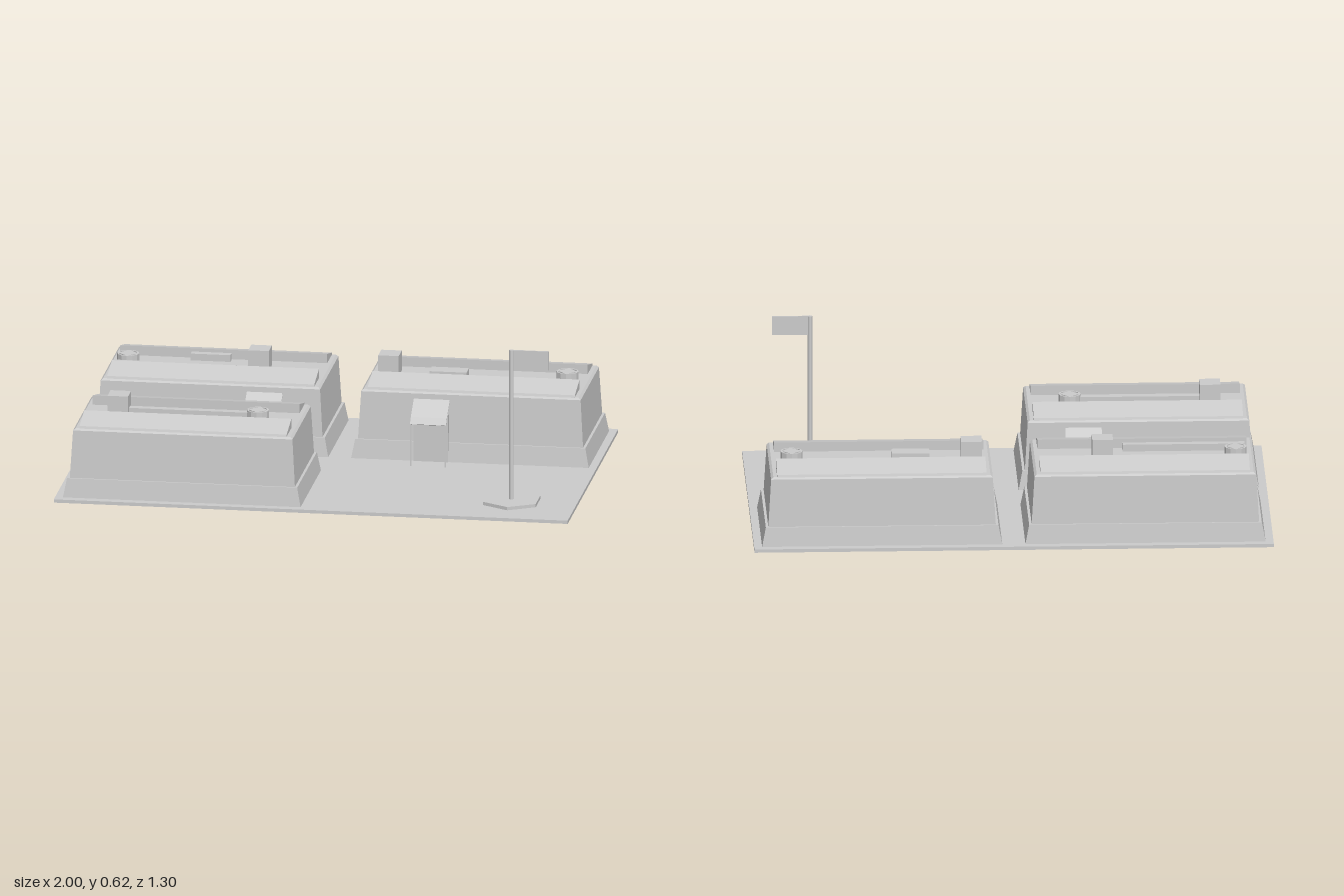
import * as THREE from 'three';

const mat = new THREE.MeshStandardMaterial({ color: 0xcccccc, flatShading: true });

export function createModel() {
  const model = new THREE.Group();
  model.name = 'compound';

  const add = (parent, name, geo, x = 0, y = 0, z = 0) => {
    const m = new THREE.Mesh(geo, mat);
    m.name = name;
    m.position.set(x, y, z);
    parent.add(m);
    return m;
  };
  // Box standing on y0
  const box = (parent, name, x, z, w, d, y0, y1) =>
    add(parent, name, new THREE.BoxGeometry(w, y1 - y0, d), x, (y0 + y1) / 2, z);

  // Box whose top is narrower than its bottom (half sizes)
  const taper = (parent, name, bx, bz, tx, tz, y0, y1) => {
    const g = new THREE.BoxGeometry(2 * bx, y1 - y0, 2 * bz);
    const p = g.attributes.position;
    for (let i = 0; i < p.count; i++) {
      if (p.getY(i) > 0) p.setXYZ(i, Math.sign(p.getX(i)) * tx, p.getY(i), Math.sign(p.getZ(i)) * tz);
    }
    g.computeVertexNormals();
    return add(parent, name, g, 0, (y0 + y1) / 2, 0);
  };

  // Profile of [z, y] points extruded along x, centred
  const profile = (points, width) => {
    const shape = new THREE.Shape(points.map(([z, y]) => new THREE.Vector2(-z, y)));
    const g = new THREE.ExtrudeGeometry(shape, { depth: width, bevelEnabled: false });
    return g.translate(0, 0, -width / 2).rotateY(Math.PI / 2);
  };

  // Round vent with four open quarters
  const ventShape = new THREE.Shape().absarc(0, 0, 0.043, 0, Math.PI * 2);
  for (let i = 0; i < 4; i++) {
    const a = i * Math.PI / 2, mid = a + Math.PI / 4;
    const hole = new THREE.Path();
    const cx = Math.cos(mid) * 0.007, cy = Math.sin(mid) * 0.007;
    hole.moveTo(cx, cy);
    hole.absarc(cx, cy, 0.029, a, a + Math.PI / 2);
    hole.closePath();
    ventShape.holes.push(hole);
  }
  const ventGeo = new THREE.ExtrudeGeometry(ventShape, { depth: 0.037, bevelEnabled: false, curveSegments: 6 });
  ventGeo.rotateX(-Math.PI / 2);

  const vent = (x, z) => {
    add(model, 'roofVent', ventGeo, x, 0.283, z);
    add(model, 'roofVentFloor', new THREE.CylinderGeometry(0.04, 0.04, 0.015, 16), x, 0.29, z);
  };

  // Ground slab
  box(model, 'ground', 0, 0, 2, 1.3, 0, 0.013);

  // Three matching buildings
  const roofPoints = [[0.231, 0.277], [0.226, 0.291], [0.105, 0.32], [0.105, 0.277]];
  const building = (name, x, z) => {
    const g = new THREE.Group();
    g.name = name;
    g.position.set(x, 0, z);
    model.add(g);
    taper(g, 'skirt', 0.4625, 0.262, 0.448, 0.253, 0.013, 0.088);
    taper(g, 'walls', 0.438, 0.246, 0.427, 0.236, 0.088, 0.275);
    taper(g, 'roofDeck', 0.427, 0.236, 0.418, 0.228, 0.275, 0.283);
    for (const s of [1, -1]) {
      const slope = add(g, s > 0 ? 'frontRoofSlope' : 'backRoofSlope', profile(roofPoints, 0.806));
      if (s < 0) slope.rotation.y = Math.PI;
    }
  };
  building('backRightHall', -0.507, -0.355);
  building('backLeftHall', 0.507, -0.355);
  building('frontRightHall', -0.507, 0.355);

  // Doorway with a bent thin canopy on two posts; side is the sign of z
  const canopyPoints = [
    [0.12, 0.256], [0.04, 0.203], [0.019, 0.18], [0.022, 0.178], [0.042, 0.199], [0.12, 0.251],
  ];
  const doorFrame = (x, side) => box(model, 'doorFrame', x, side * 0.108, 0.134, 0.036, 0.013, 0.2);
  const porch = (x, side) => {
    doorFrame(x, side);
    const c = add(model, 'porchCanopy', profile(canopyPoints, 0.14), x);
    if (side < 0) c.rotation.y = Math.PI;
    for (const s of [-1, 1]) box(model, 'porchPost', x + s * 0.067, side * 0.022, 0.005, 0.005, 0.013, 0.18);
  };
  porch(-0.295, -1);
  porch(-0.295, 1);
  porch(0.355, -1);

  // Covered walkway between the two right halls
  box(model, 'walkwayRoof', -0.75, 0, 0.142, 0.24, 0.198, 0.203);
  for (const side of [-1, 1]) {
    doorFrame(-0.75, side);
    for (const s of [-1, 1]) box(model, 'walkwayPost', -0.75 + s * 0.067, side * 0.039, 0.005, 0.005, 0.013, 0.199);
  }

  // Rooftop equipment
  vent(-0.863, -0.36);
  vent(0.847, -0.36);
  vent(-0.25, 0.352);
  for (const [x, z] of [[-0.35, -0.36], [0.155, -0.365], [-0.79, 0.352]]) {
    box(model, 'roofUnit', x, z, 0.08, 0.08, 0.28, 0.362);
  }
  box(model, 'roofBox', -0.552, -0.436, 0.155, 0.03, 0.28, 0.31);
  box(model, 'roofDuct', -0.665, -0.28, 0.47, 0.03, 0.28, 0.31);
  box(model, 'roofBox', 0.388, -0.347, 0.145, 0.065, 0.28, 0.31);
  box(model, 'roofDuct', -0.52, 0.352, 0.46, 0.03, 0.28, 0.31);

  // Flagpole on a hexagonal plinth
  add(model, 'flagPlinth', new THREE.CylinderGeometry(0.118, 0.118, 0.014, 6), 0.748, 0.019, 0.423);
  add(model, 'flagPole', new THREE.CylinderGeometry(0.009, 0.009, 0.6, 8), 0.747, 0.322, 0.425);
  box(model, 'flag', 0.82, 0.425, 0.145, 0.006, 0.547, 0.622);

  return model;
}
